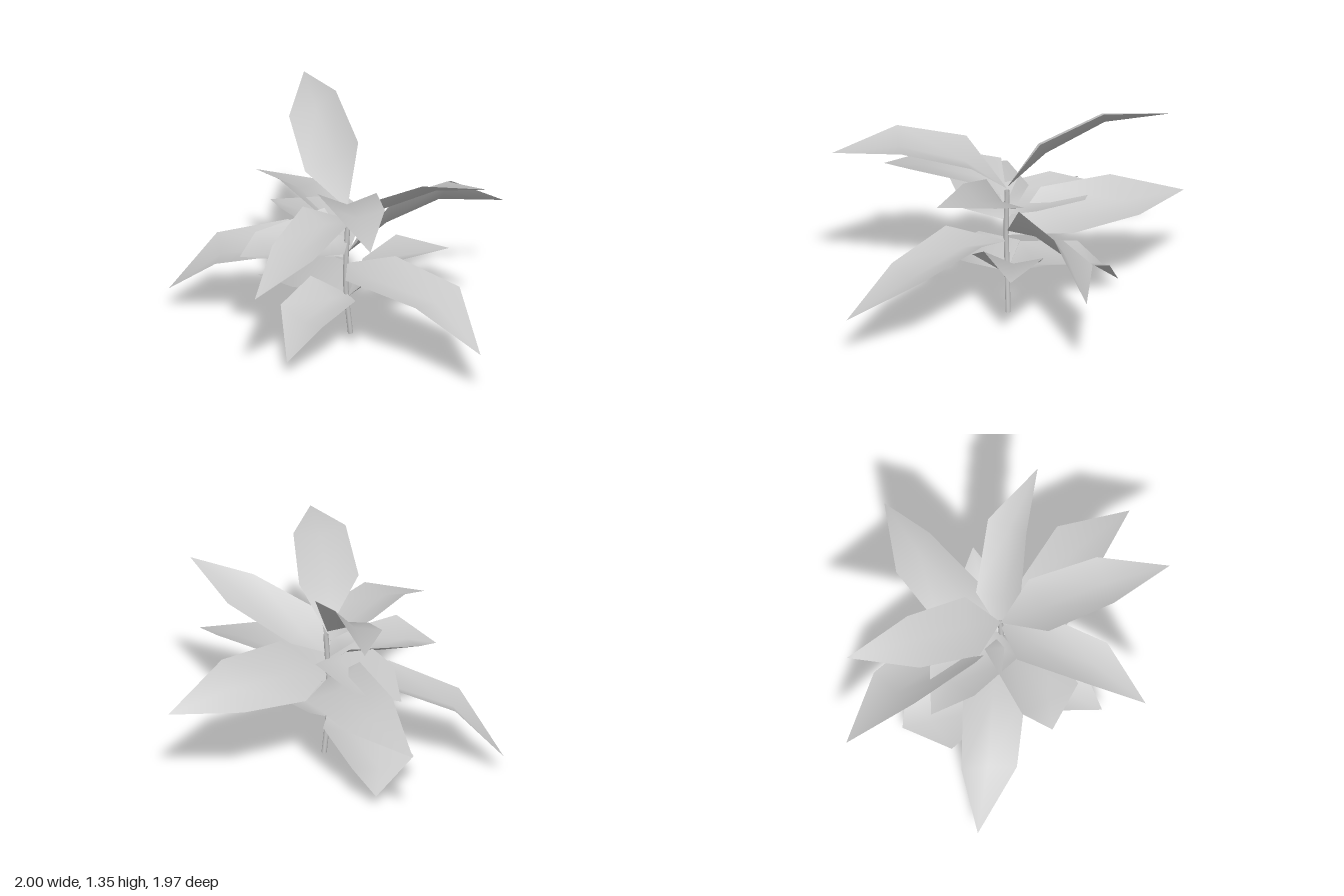
import * as THREE from 'three';

const v = (p) => new THREE.Vector3(...p);

export function createModel() {
  const model = new THREE.Group();
  model.name = 'pottingPlant';
  const grey = new THREE.MeshStandardMaterial({ color: 0xc8c8c8, side: THREE.DoubleSide });
  grey.name = 'plain grey';

  // Thin, slightly bowed stem
  const path = new THREE.CatmullRomCurve3(
    [[0.118, 0, -0.05], [0.092, 0.3, -0.038], [0.094, 0.55, -0.033], [0.108, 0.83, -0.042]].map(v));
  const stem = new THREE.Mesh(new THREE.TubeGeometry(path, 8, 0.016, 8), grey);
  stem.name = 'stem';
  model.add(stem);

  // Cap closes the foot of the stem
  const cap = new THREE.Mesh(new THREE.CircleGeometry(0.016, 8).rotateX(Math.PI / 2), grey);
  cap.position.set(0.118, 0.001, -0.05);
  cap.name = 'stemFoot';
  model.add(cap);

  // A leaf is a bent blade with a sunken midrib: pointed base, two V-shaped
  // cross-sections (near, far) and a pointed tip. side is half the near width,
  // farSide half the far width, which differs only on twisted leaves.
  function addLeaf(name, baseY, near, far, tip, side, farSide = side.map((c) => c * 0.88)) {
    const base = v([0.1, baseY, -0.04]), a = v(near), b = v(far), t = v(tip), s = v(side), s2 = v(farSide);
    if (s.clone().cross(b.clone().sub(a)).y < 0) {
      s.negate();
      s2.negate();
    }
    const section = (mid, half, along, sag) => {
      const down = half.clone().cross(along).normalize().multiplyScalar(-sag * half.length());
      return [mid.clone().add(half), mid.clone().add(down), mid.clone().sub(half)];
    };
    const pts = [base, ...section(a, s, b.clone().sub(base), 0.36), ...section(b, s2, t.clone().sub(a), 0.3), t];
    const g = new THREE.BufferGeometry().setFromPoints(pts);
    g.setIndex([0, 2, 1, 0, 3, 2, 1, 2, 4, 2, 5, 4, 2, 3, 5, 3, 6, 5, 4, 5, 7, 5, 6, 7]);
    g.computeVertexNormals();
    const leaf = new THREE.Mesh(g, grey);
    leaf.name = name;
    model.add(leaf);
  }

  // Lowest whorl
  addLeaf('lowLeafFront', 0.27, [0.025, 0.355, 0.06], [-0.14, 0.3, 0.34], [-0.2, 0.1, 0.566], [-0.15, 0.01, -0.13], [-0.136, 0.01, -0.12]);
  addLeaf('lowLeafBack', 0.27, [-0.075, 0.315, -0.18], [-0.305, 0.228, -0.483], [-0.285, 0.08, -0.64], [-0.16, -0.02, 0.135], [-0.167, -0.022, 0.137]);
  addLeaf('lowLeafLeft', 0.25, [0.17, 0.4, -0.05], [0.365, 0.54, -0.14], [0.7, 0.535, -0.195], [0, 0, -0.21]);
  // Middle whorl
  addLeaf('midLeafRight', 0.52, [-0.27, 0.612, -0.085], [-0.705, 0.49, -0.125], [-1, 0.16, -0.2], [0.015, -0.022, 0.19]);
  addLeaf('midLeafFrontLeft', 0.48, [0.265, 0.573, 0.19], [0.7, 0.53, 0.44], [0.995, 0.32, 0.755], [0.136, 0.017, -0.142]);
  addLeaf('midLeafBackRight', 0.52, [0.02, 0.685, -0.333], [-0.25, 0.688, -0.69], [-0.56, 0.587, -0.985], [-0.14, 0.066, 0.135]);
  addLeaf('midLeafBackLeft', 0.55, [0.27, 0.705, -0.285], [0.6, 0.735, -0.56], [0.97, 0.6, -0.725], [-0.093, -0.135, -0.115]);
  // Small upper leaves
  addLeaf('smallLeafRight', 0.62, [0.03, 0.735, 0.04], [-0.35, 0.722, 0.25], [-0.52, 0.644, 0.26], [-0.08, 0.06, -0.18], [-0.095, 0, -0.17]);
  addLeaf('smallLeafBack', 0.66, [0.03, 0.742, -0.08], [-0.225, 0.72, -0.34], [-0.415, 0.66, -0.47], [-0.115, 0.012, 0.15], [-0.105, 0.026, 0.132]);
  // Crown
  addLeaf('topLeafFrontRight', 0.78, [-0.01, 0.89, 0.13], [-0.168, 0.833, 0.535], [-0.367, 0.656, 0.825], [-0.15, 0.01, -0.075]);
  addLeaf('topLeafLeft', 0.7, [0.23, 0.88, -0.055], [0.635, 1.075, 0.01], [0.97, 1.155, 0.2], [-0.07, 0.045, 0.13]);
  addLeaf('topLeafFront', 0.84, [0.123, 1.075, 0.19], [0.24, 1.177, 0.595], [0.352, 1.1, 0.985], [-0.173, 0.015, 0.055]);
  addLeaf('topLeafBack', 0.85, [-0.014, 1.105, -0.213], [-0.17, 1.273, -0.572], [-0.265, 1.275, -0.975], [-0.157, -0.086, 0.04]);

  return model;
}
